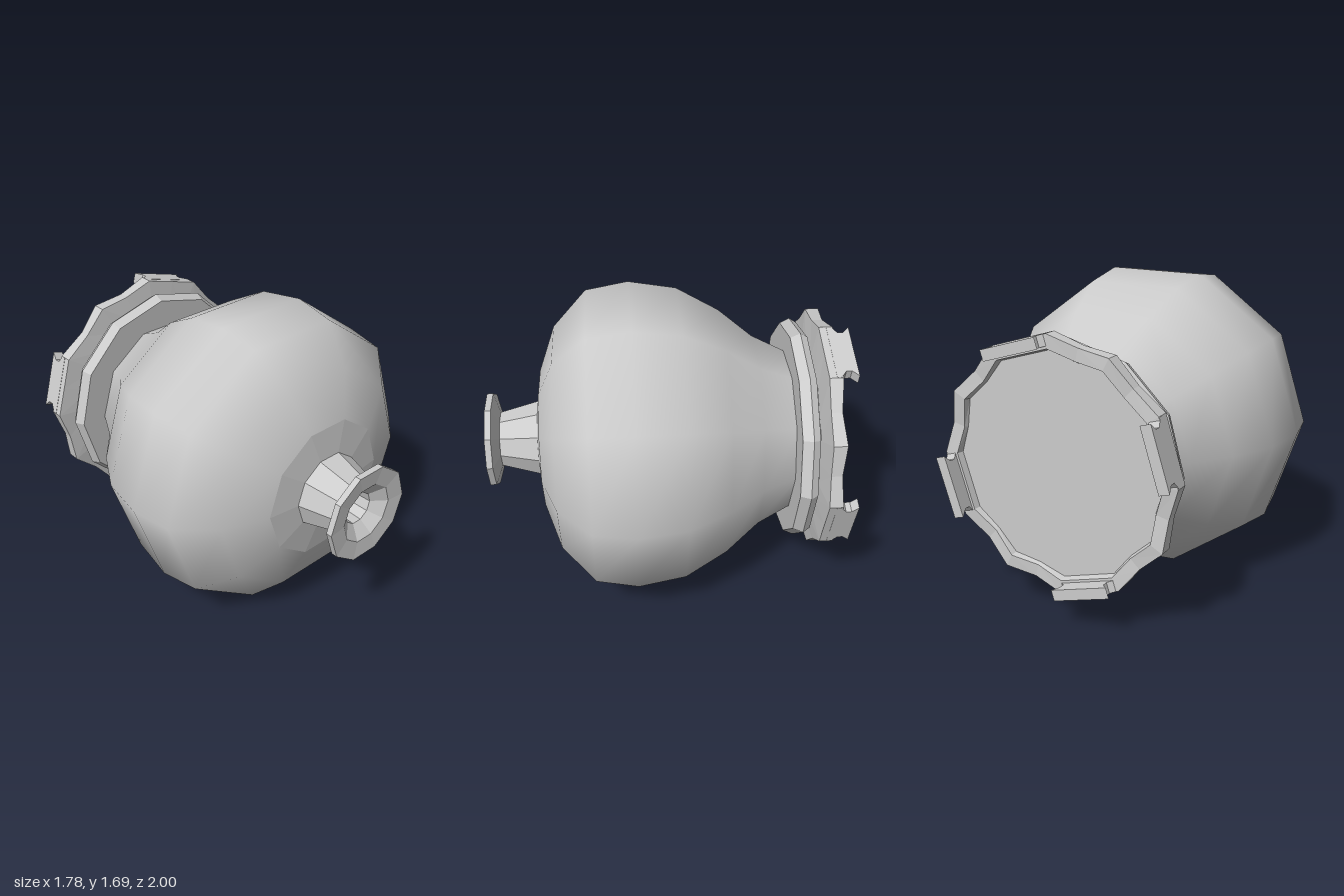
import * as THREE from 'three';

const CY = 0.85; // height of the main axis, which runs along z
const TAB_STEPS = [5, 11, 17, 23]; // crown tab directions, in 15 degree steps
const STEP = Math.PI / 12;
const smooth = new THREE.MeshStandardMaterial({ color: 0xcccccc });
const flat = new THREE.MeshStandardMaterial({ color: 0xcccccc, flatShading: true, side: THREE.DoubleSide });

// Turned solid about z; profile is [radius, z] with z rising along the outside
function turned(profile, sides) {
  const points = profile.map(([r, z]) => new THREE.Vector2(r, z));
  return new THREE.LatheGeometry(points, sides, Math.PI / 2).rotateX(Math.PI / 2);
}

function add(group, name, geometry, material) {
  const mesh = new THREE.Mesh(geometry, material);
  mesh.name = name;
  group.add(mesh);
  return mesh;
}

// Crown with a scalloped rim and a recessed floor
function crownGeometry() {
  const geo = turned([[0, -0.88], [0.605, -0.88], [0.615, -0.915], [0.69, -0.915],
    [0.69, -0.84], [0.49, -0.815]], 24);
  const p = geo.attributes.position;
  for (let i = 0; i < p.count; i++) {
    const x = p.getX(i), y = p.getY(i);
    if (Math.hypot(x, y) < 0.55) continue;
    const step = (Math.round(Math.atan2(y, x) / STEP) + 24) % 24;
    if (step % 2 === 0) continue;
    const isTab = TAB_STEPS.includes(step);
    const s = isTab ? Math.cos(STEP) : 0.945;
    p.setXY(i, x * s, y * s);
    if (!isTab && p.getZ(i) < -0.9) p.setZ(i, -0.9);
  }
  geo.computeVertexNormals();
  return geo;
}

// Flat tab with a pinched waist, x across and y towards the back
function tabGeometry() {
  const half = [[0.178, 0.88], [0.175, 0.905], [0.135, 0.935], [0.135, 0.965], [0.17, 1.0]];
  const outline = [...half, ...half.map(([x, y]) => [-x, y]).reverse()];
  const shape = new THREE.Shape(outline.map(([x, y]) => new THREE.Vector2(x, y)));
  return new THREE.ExtrudeGeometry(shape, { depth: 0.06, bevelEnabled: false });
}

export function createModel() {
  const group = new THREE.Group();
  group.name = 'vessel';
  const axis = new THREE.Group();
  axis.name = 'turnedParts';
  axis.position.y = CY;
  group.add(axis);

  // Ten-sided rounded body narrowing to the back
  add(axis, 'body', turned([[0.46, -0.71], [0.56, -0.51], [0.715, -0.32], [0.845, -0.085],
    [0.888, 0.18], [0.848, 0.415], [0.65, 0.6], [0.4, 0.69]], 10), smooth);
  add(axis, 'shoulder', turned([[0.4, 0.69], [0.2, 0.715]], 10), flat);

  // Flared nozzle with funnel and bore
  add(axis, 'nozzle', turned([[0.22, 0.71], [0.16, 0.93], [0.273, 0.965], [0.273, 1],
    [0.17, 0.99], [0.092, 0.93], [0.085, 0.76], [0, 0.76]], 10), flat);

  // Collar and neck
  add(axis, 'collar', turned([[0.45, -0.79], [0.615, -0.79], [0.64, -0.75],
    [0.615, -0.695], [0.44, -0.695]], 12), flat);
  add(axis, 'neck', turned([[0.505, -0.85], [0.505, -0.78]], 12), flat);

  // Crown and its four tabs, turned slightly about the axis
  const cap = new THREE.Group();
  cap.name = 'cap';
  cap.rotation.z = THREE.MathUtils.degToRad(-2);
  axis.add(cap);
  add(cap, 'crown', crownGeometry(), flat);
  const tab = tabGeometry();
  for (const step of TAB_STEPS) {
    const c = Math.cos(step * STEP), s = Math.sin(step * STEP);
    const mesh = add(cap, 'crownTab', tab, flat);
    const basis = new THREE.Matrix4().makeBasis(
      new THREE.Vector3(s, -c, 0), new THREE.Vector3(0, 0, -1), new THREE.Vector3(c, s, 0));
    mesh.quaternion.setFromRotationMatrix(basis);
    mesh.position.set(c * 0.608, s * 0.608, 0);
  }
  return group;
}
